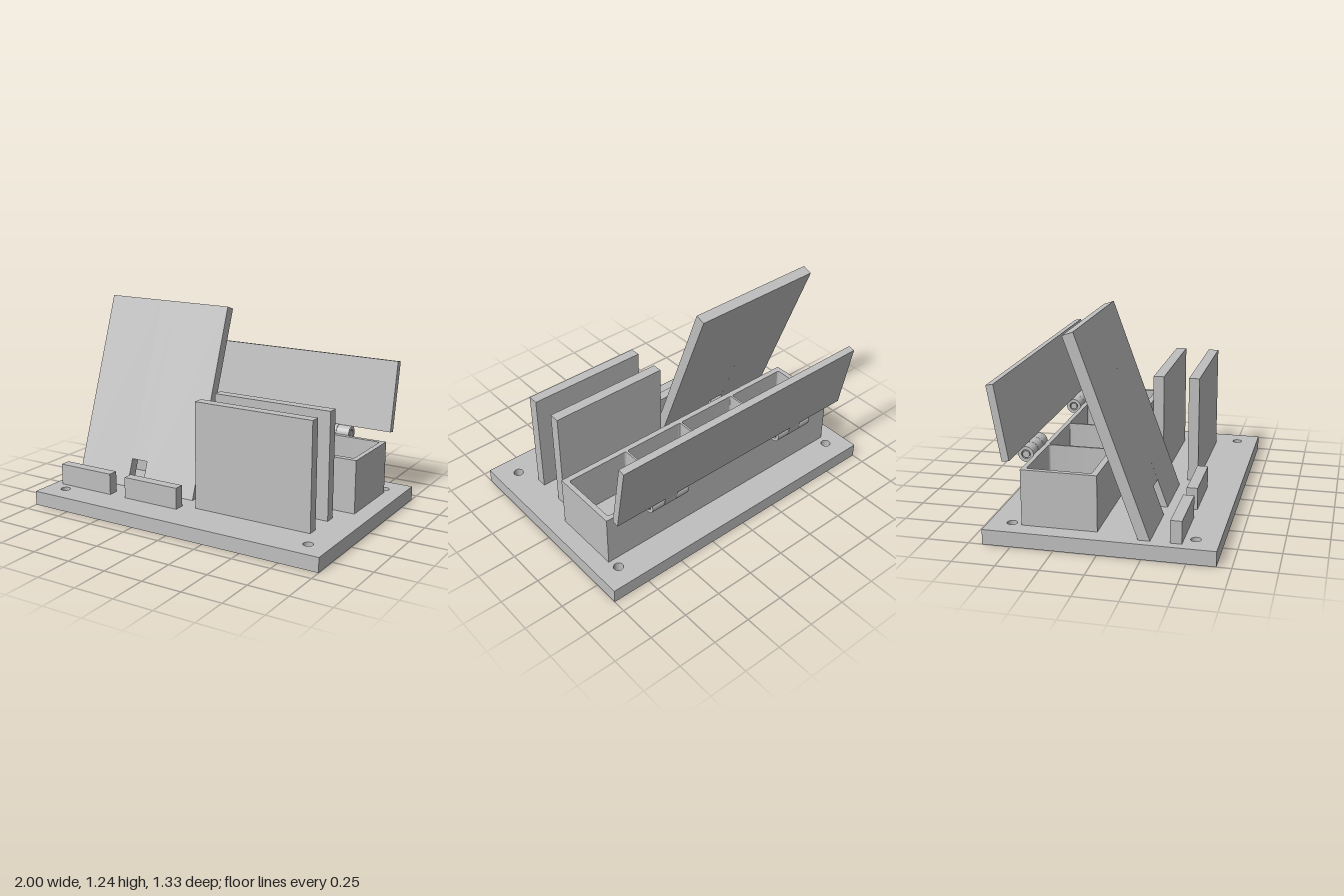
import * as THREE from 'three';
import { toCreasedNormals } from 'three/addons/utils/BufferGeometryUtils.js';

const grey = new THREE.MeshStandardMaterial({ color: 0xbfbfbf });
grey.name = 'plain grey';

function mesh(name, geometry) {
  const m = new THREE.Mesh(geometry, grey);
  m.name = name;
  return m;
}

// Box given by its limits on each axis
function block(name, x0, x1, y0, y1, z0, z1) {
  const m = mesh(name, new THREE.BoxGeometry(x1 - x0, y1 - y0, z1 - z0));
  m.position.set((x0 + x1) / 2, (y0 + y1) / 2, (z0 + z1) / 2);
  return m;
}

function extrude(shape, depth) {
  const g = new THREE.ExtrudeGeometry(shape, { depth, bevelEnabled: false, curveSegments: 24 });
  return toCreasedNormals(g, 0.6);
}

// Side profile in (-z, y), extruded from x0 to x1
function sideways(name, shape, x0, x1) {
  return mesh(name, extrude(shape, x1 - x0).rotateY(Math.PI / 2).translate(x0, 0, 0));
}

// Plan in (x, -z), extruded from y0 to y1
function upright(name, shape, y0, y1) {
  return mesh(name, extrude(shape, y1 - y0).rotateX(-Math.PI / 2).translate(0, y0, 0));
}

function polygon(points) {
  return new THREE.Shape(points.map(([x, y]) => new THREE.Vector2(x, y)));
}

function rect(x0, x1, y0, y1) {
  return polygon([[x0, y0], [x1, y0], [x1, y1], [x0, y1]]);
}

function circleHole(x, y, r) {
  return new THREE.Path().absarc(x, y, r, 0, Math.PI * 2, true);
}

// Rounded opening of one compartment
function cellHole(x0, x1, y0, y1, r) {
  const p = new THREE.Path();
  p.absarc(x0 + r, y0 + r, r, Math.PI, Math.PI * 1.5, false);
  p.absarc(x1 - r, y0 + r, r, Math.PI * 1.5, Math.PI * 2, false);
  p.absarc(x1 - r, y1 - r, r, 0, Math.PI / 2, false);
  p.absarc(x0 + r, y1 - r, r, Math.PI / 2, Math.PI, false);
  p.closePath();
  return p;
}

const BASE = 0.09;
const AXIS = [0.517, 0.425]; // hinge axis in (-z, y)
const R = 0.047;

function createHinge(centerX) {
  const hinge = new THREE.Group();
  hinge.name = 'hinge';
  const [a, b] = AXIS;

  // Outer knuckles, joined to the tray wall
  const fixed = new THREE.Shape();
  fixed.moveTo(0.466, b - R);
  fixed.lineTo(a, b - R);
  fixed.absarc(a, b, R, -Math.PI / 2, Math.PI, false);
  fixed.lineTo(0.466, b);
  fixed.closePath();
  fixed.holes.push(circleHole(a, b, 0.027));

  // Middle knuckle, with an arm up to the lid
  const moving = new THREE.Shape();
  moving.moveTo(a + R, b);
  moving.lineTo(0.572, 0.463);
  moving.lineTo(0.53, 0.472);
  moving.lineTo(a, b + R);
  moving.absarc(a, b, R, Math.PI / 2, Math.PI * 2, false);
  moving.holes.push(circleHole(a, b, 0.027));

  const half = 0.134, inner = 0.045;
  hinge.add(
    sideways('trayKnuckle', fixed, -half, -inner - 0.002),
    sideways('trayKnuckle', fixed, inner + 0.002, half),
    sideways('lidKnuckle', moving, -inner, inner),
  );
  const pin = mesh('hingePin', new THREE.CylinderGeometry(0.021, 0.021, half * 2, 24).rotateZ(Math.PI / 2));
  pin.position.set(0, b, -a);
  hinge.add(pin);
  hinge.position.x = centerX;
  return hinge;
}

export function createModel() {
  const model = new THREE.Group();
  model.name = 'deskOrganizer';

  // Base plate with four screw holes
  const base = rect(-1, 1, -0.667, 0.667);
  for (const x of [-0.867, 0.867]) {
    for (const y of [-0.532, 0.532]) base.holes.push(circleHole(x, y, 0.03));
  }
  model.add(upright('basePlate', base, 0, BASE));

  // Tray with four compartments
  const tray = rect(-0.89, 0.89, 0.023, 0.468);
  for (let i = 0; i < 4; i++) {
    const x0 = -0.859 + i * 0.4325;
    tray.holes.push(cellHole(x0, x0 + 0.4195, 0.06, 0.44, 0.012));
  }
  model.add(upright('trayWalls', tray, BASE, 0.424));
  model.add(block('trayFloor', -0.88, 0.88, BASE, 0.122, -0.46, -0.035));

  // Open lid and its hinges
  const lid = polygon([[0.53, 0.47], [0.573, 0.463], [0.651, 0.903], [0.608, 0.911]]);
  model.add(sideways('lid', lid, -0.89, 0.89));
  for (const x of [-0.503, 0.497]) model.add(createHinge(x));

  // Leaning back rest, split around the cable notch
  const full = [[-0.29, BASE], [-0.222, BASE], [0.191, 1.218], [0.129, 1.24]];
  const aboveNotch = [[-0.228, 0.26], [-0.168, 0.238], full[2], full[3]];
  const rest = new THREE.Group();
  rest.name = 'backRest';
  rest.add(
    sideways('restLeftPart', polygon(full), -0.947, -0.56),
    sideways('restMiddlePart', polygon(aboveNotch), -0.56, -0.445),
    sideways('restRightPart', polygon(full), -0.445, -0.06),
  );
  model.add(rest);

  // Front lips either side of the notch
  model.add(block('frontLip', -0.947, -0.56, BASE, 0.224, 0.402, 0.468));
  model.add(block('frontLip', -0.445, -0.06, BASE, 0.224, 0.402, 0.468));

  // Pair of upright divider plates
  for (const z of [0.102, 0.325]) {
    model.add(block('dividerPlate', 0.03, 0.807, BASE, 0.758, z, z + 0.066));
  }
  return model;
}
